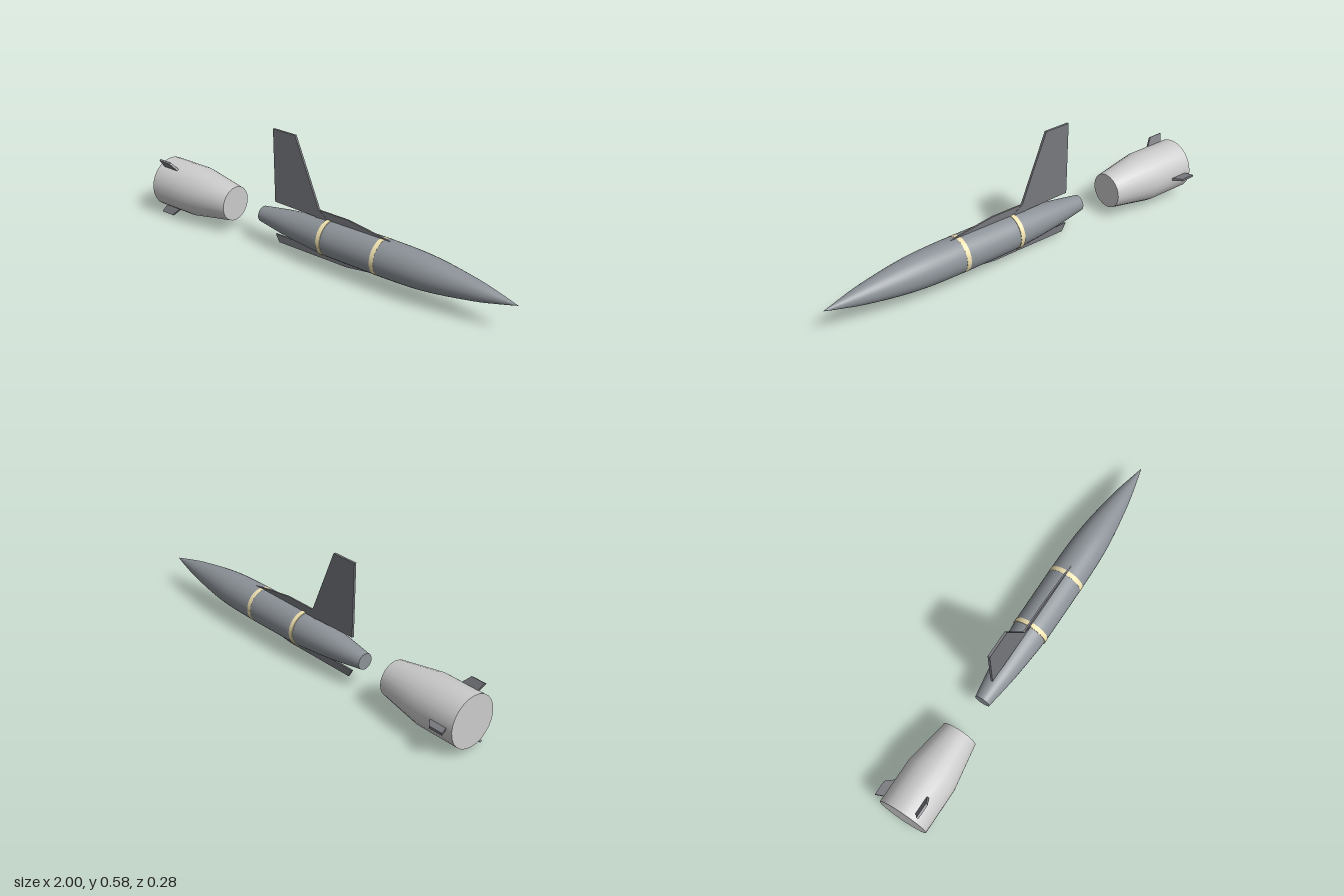
import * as THREE from 'three';

const paint = (color) => new THREE.MeshStandardMaterial({ color });
const grey = paint(0xcccccc);
const bodyPaint = paint(0x8c9298);
const finPaint = paint(0x77787d);
const bandPaint = paint(0xf0e2b0);

// Solid of revolution about the x axis; points are [x, radius], tail to nose.
function turned(name, points, segments, material) {
  const profile = points.map(([x, r]) => new THREE.Vector2(r, x));
  const geometry = new THREE.LatheGeometry(profile, segments);
  geometry.rotateZ(-Math.PI / 2);
  const mesh = new THREE.Mesh(geometry, material);
  mesh.name = name;
  return mesh;
}

// Flat plate in the x/y plane, centred on z = 0; y is the distance from the axis.
function plate(name, outline, thickness, material) {
  const shape = new THREE.Shape(outline.map(([x, y]) => new THREE.Vector2(x, y)));
  const geometry = new THREE.ExtrudeGeometry(shape, { depth: thickness, bevelEnabled: false });
  geometry.translate(0, 0, -thickness / 2);
  const mesh = new THREE.Mesh(geometry, material);
  mesh.name = name;
  return mesh;
}

export function createModel() {
  const model = new THREE.Group();
  model.name = 'rocket';

  // Everything shares one long axis
  const axis = new THREE.Group();
  axis.name = 'rocketAxis';
  axis.position.set(0, 0.1405, 0.02);
  model.add(axis);

  // Main body: smooth curve from the blunt tail to the pointed nose
  const outline = new THREE.SplineCurve([
    [-0.38, 0.038], [-0.2, 0.064], [0, 0.082], [0.12, 0.085], [0.42, 0.085],
    [0.6, 0.075], [0.8, 0.046], [0.92, 0.02], [1, 0],
  ].map(([x, r]) => new THREE.Vector2(x, r)));
  const skin = outline.getPoints(40).map((p) => [p.x, Math.max(p.y, 0)]);
  axis.add(turned('body', [[-0.38, 0], [-0.38, 0.038], ...skin], 32, bodyPaint));

  // Pale bands round the body
  for (const [i, x] of [0.018, 0.318].entries()) {
    const w = 0.011, r = 0.0863;
    axis.add(turned(`band${i + 1}`, [
      [x - w, 0.078], [x - w, r], [x - w, r], [x + w, r], [x + w, r], [x + w, 0.078],
    ], 32, bandPaint));
  }

  // Tall dorsal fin, with a low spine above and a keel below
  axis.add(plate('dorsalFin', [
    [-0.3, 0.086], [0.02, 0.08], [-0.04, 0.12], [-0.175, 0.442], [-0.305, 0.442],
  ], 0.011, finPaint));
  axis.add(plate('spine', [
    [-0.06, 0.07], [0.38, 0.075], [0.37, 0.084], [0.13, 0.118], [-0.06, 0.118],
  ], 0.008, finPaint));
  axis.add(plate('keel', [
    [-0.302, -0.079], [-0.28, -0.116], [0.12, -0.116], [0.37, -0.084], [0.38, -0.075],
  ], 0.008, finPaint));

  // Separate booster behind the body
  const booster = new THREE.Group();
  booster.name = 'booster';
  axis.add(booster);
  booster.add(turned('boosterShell', [
    [-1, 0], [-1, 0.121], [-1, 0.121], [-0.78, 0.121],
    [-0.56, 0.084], [-0.56, 0.084], [-0.56, 0],
  ], 24, grey));

  // Three small swept fins round the booster
  for (const [i, degrees] of [-90, 30, 150].entries()) {
    const fin = plate(`boosterFin${i + 1}`, [
      [-0.966, 0.115], [-0.877, 0.115], [-0.914, 0.159], [-0.985, 0.159],
    ], 0.011, finPaint);
    fin.rotation.x = THREE.MathUtils.degToRad(degrees);
    booster.add(fin);
  }

  return model;
}
